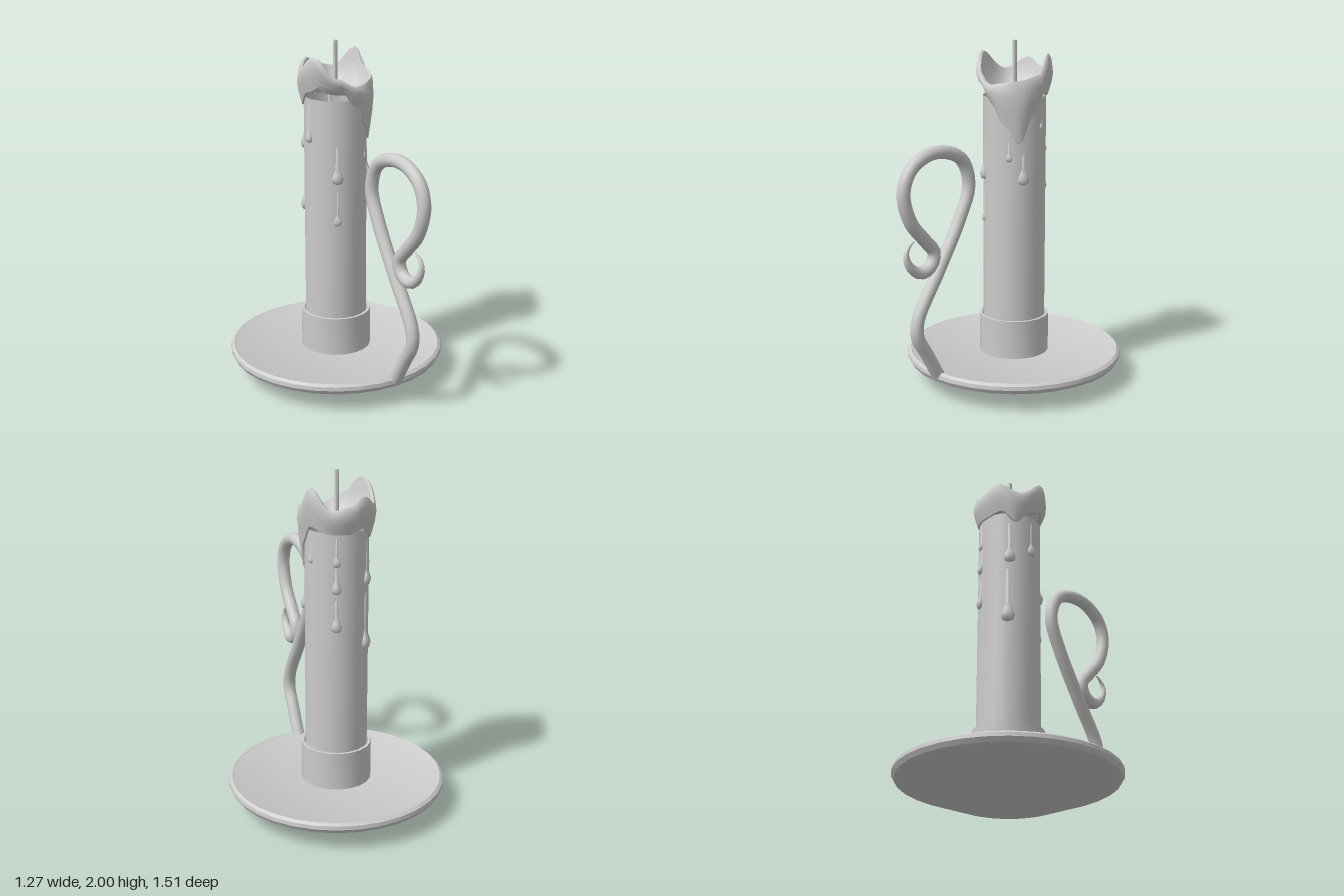
import * as THREE from 'three';
import { toCreasedNormals } from 'three/addons/utils/BufferGeometryUtils.js';

const AXIS_Z = -0.12; // candle and plate axis
const CANDLE_R = 0.18;
const material = new THREE.MeshStandardMaterial({ color: 0xcccccc, side: THREE.DoubleSide });

function part(name, geometry, crease = 0.6) {
  const mesh = new THREE.Mesh(toCreasedNormals(geometry, crease), material);
  mesh.name = name;
  return mesh;
}

function lathe(profile, sides) {
  return new THREE.LatheGeometry(profile.map(([r, y]) => new THREE.Vector2(r, y)), sides);
}

// Smooth height around the candle from [degrees, height] keys
function heightAt(keys, deg) {
  const k = Math.max(1, keys.findIndex(([a]) => a >= deg));
  const [a0, y0] = keys[k - 1], [a1, y1] = keys[k];
  const t = (deg - a0) / (a1 - a0);
  return y0 + (y1 - y0) * (0.5 - 0.5 * Math.cos(Math.PI * t));
}

// Melted wax collar: wavy rim, hanging lower edge and hollow bowl
function waxCollar() {
  const rim = [[-180, 1.84], [-158, 1.885], [-120, 1.82], [-68, 1.935], [-30, 1.82], [0, 1.77],
    [50, 1.795], [85, 1.82], [112, 1.935], [150, 1.82], [180, 1.84]];
  const hem = [[-180, 1.68], [-150, 1.70], [-125, 1.63], [-90, 1.72], [-55, 1.77], [-20, 1.74],
    [0, 1.66], [30, 1.53], [55, 1.43], [80, 1.6], [108, 1.71], [150, 1.68], [180, 1.68]];
  const floor = 1.70;
  // radius, level: 0 = hem, 1 = rim, 2 = bowl floor
  const profile = [[0.172, 0], [0.189, 0.02], [0.198, 0.2], [0.21, 0.45], [0.217, 0.7],
    [0.212, 0.93], [0.203, 1], [0.19, 1.03], [0.178, 1.3], [0.155, 1.65], [0.11, 1.93], [0, 2]];
  const geometry = lathe(profile, 48);
  const pos = geometry.attributes.position;
  for (let i = 0; i < pos.count; i++) {
    const ring = Math.floor(i / profile.length);
    const deg = ((ring * 7.5 + 180) % 360) - 180;
    const level = pos.getY(i), top = heightAt(rim, deg), low = heightAt(hem, deg);
    const y = level <= 1
      ? THREE.MathUtils.lerp(low, top, level)
      : THREE.MathUtils.lerp(top, floor, level - 1);
    pos.setY(i, y);
  }
  return part('waxCollar', geometry, 0.8);
}

// Wax runs: a thin trail ending in a round bead
function waxDrip(deg, y, size, trail) {
  const profile = [[0, -size], [size * 0.75, -size * 0.7], [size, 0], [size * 0.7, size * 0.8],
    [size * 0.35, size * 1.6], [size * 0.3, size * 1.6 + trail], [0, size * 2 + trail]];
  const drip = part('waxDrip', lathe(profile, 10), 1.2);
  const a = THREE.MathUtils.degToRad(deg);
  drip.position.set(Math.sin(a) * (CANDLE_R - 0.005), y, Math.cos(a) * (CANDLE_R - 0.005));
  drip.rotation.y = a;
  drip.scale.z = 0.8;
  return drip;
}

// Scrolled handle, narrowing to a point at the curled end
function handle() {
  const path = [[0.48, 0.14], [0.57, 0.30], [0.635, 0.42], [0.625, 0.52], [0.47, 0.77], [0.31, 1.04],
    [0.24, 1.22], [0.29, 1.37], [0.41, 1.43], [0.55, 1.43], [0.67, 1.36], [0.715, 1.24],
    [0.67, 1.08], [0.57, 0.96], [0.505, 0.88], [0.525, 0.81], [0.60, 0.78], [0.67, 0.82],
    [0.705, 0.89], [0.69, 0.94], [0.645, 0.972]];
  const curve = new THREE.CatmullRomCurve3(path.map(([z, y]) => new THREE.Vector3(0, y, z)));
  const steps = 90, sides = 12;
  const geometry = new THREE.TubeGeometry(curve, steps, 0.038, sides);
  const pos = geometry.attributes.position, v = new THREE.Vector3();
  for (let i = 0; i < pos.count; i++) {
    const t = Math.floor(i / (sides + 1)) / steps;
    const width = t > 0.9 ? THREE.MathUtils.lerp(1, 0.1, (t - 0.9) / 0.1) : 1;
    const centre = curve.getPointAt(t);
    v.fromBufferAttribute(pos, i).sub(centre).multiplyScalar(width).add(centre);
    pos.setXYZ(i, v.x, v.y, v.z);
  }
  return part('handle', geometry, 1);
}

export function createModel() {
  const model = new THREE.Group();
  model.name = 'candleHolder';

  const body = new THREE.Group();
  body.name = 'candleAndPlate';
  body.position.z = AXIS_Z;
  model.add(body);

  // Plate with sloping underside and rolled rim
  body.add(part('plate', lathe([[0, 0], [0.32, 0], [0.62, 0.115], [0.635, 0.14], [0.632, 0.162],
    [0.615, 0.175], [0.6, 0.168], [0, 0.16]], 32), 0.5));

  // Socket ring around the candle foot
  body.add(part('socket', lathe([[0.205, 0.15], [0.205, 0.39], [0.188, 0.39], [0.188, 0.16]], 20), 0.5));

  // Candle shaft
  const shaft = new THREE.CylinderGeometry(CANDLE_R, CANDLE_R, 1.53, 24, 1, true);
  shaft.translate(0, 0.925, 0);
  body.add(part('candle', shaft));

  body.add(waxCollar());

  const wick = new THREE.CylinderGeometry(0.013, 0.013, 0.32, 8);
  wick.translate(0, 1.84, 0);
  body.add(part('wick', wick, 1));

  // Angle, height, bead size, trail length
  [[-30, 1.24, 0.036, 0.12], [-30, 0.98, 0.024, 0.14], [62, 1.23, 0.035, 0.08], [35, 1.35, 0.02, 0.06],
    [-90, 1.46, 0.03, 0.14], [104, 1.52, 0.02, 0.06], [157, 1.52, 0.024, 0.1], [157, 1.37, 0.03, 0.08],
    [157, 1.15, 0.032, 0.1], [-135, 1.4, 0.036, 0.16], [-138, 1.03, 0.042, 0.22],
  ].forEach((d) => body.add(waxDrip(...d)));

  model.add(handle());
  return model;
}
